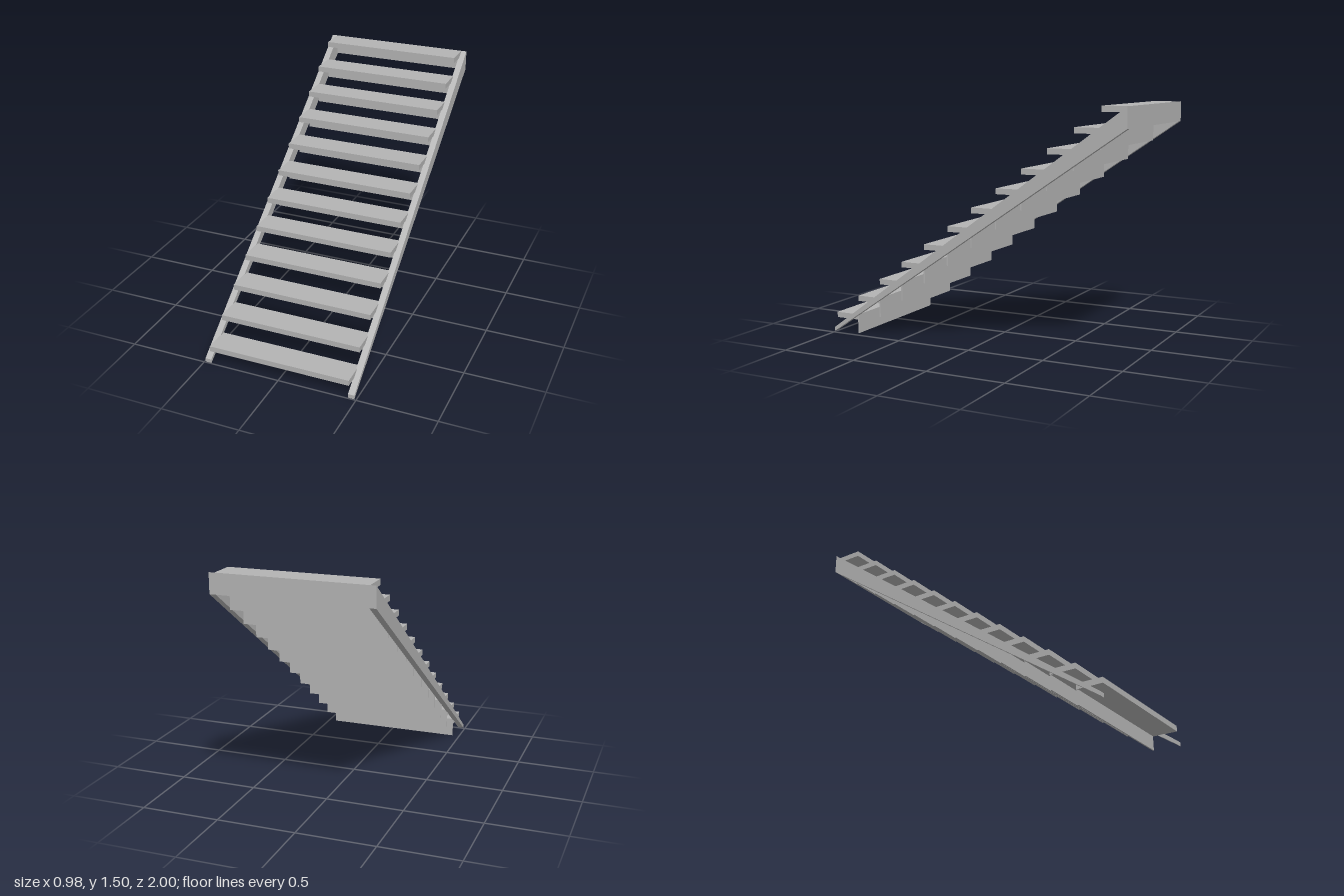
import * as THREE from 'three';

const STEPS = 12, RUN = 2 / STEPS, RISE = 1.5 / STEPS;
const TREAD_T = 0.035, RISER_T = 0.009;

export function createModel() {
  const group = new THREE.Group();
  group.name = 'staircase';
  const grey = new THREE.MeshStandardMaterial({ color: 0xb3b3b3 });
  grey.name = 'plain grey';

  const add = (name, geometry, x, y, z) => {
    const mesh = new THREE.Mesh(geometry, grey);
    mesh.name = name;
    mesh.position.set(x, y, z);
    group.add(mesh);
  };

  // Treads, each with a thin riser plate hanging under its back edge
  const treadGeo = new THREE.BoxGeometry(0.91, TREAD_T, RUN);
  const riserGeo = new THREE.BoxGeometry(0.9, RISE - TREAD_T, RISER_T);
  for (let i = 0; i < STEPS; i++) {
    const top = (i + 1) * RISE, back = 1 - (i + 1) * RUN;
    add(`tread${i + 1}`, treadGeo, 0, top - TREAD_T / 2, back + RUN / 2);
    add(`riser${i + 1}`, riserGeo, 0, (i * RISE + top - TREAD_T) / 2, back + RISER_T / 2);
  }

  // Tapered side stringers: the profile is drawn as (-z, y), then turned to face sideways
  const profile = new THREE.Shape([[-1, 0.005], [1, 1.375], [1, 1.5], [-1, 0.03]]
    .map(([u, y]) => new THREE.Vector2(u, y)));
  const stringerGeo = new THREE.ExtrudeGeometry(profile, { depth: 0.04, bevelEnabled: false });
  stringerGeo.translate(0, 0, -0.02);
  stringerGeo.rotateY(Math.PI / 2);
  add('leftStringer', stringerGeo, 0.47, 0, 0);
  add('rightStringer', stringerGeo, -0.47, 0, 0);

  return group;
}
